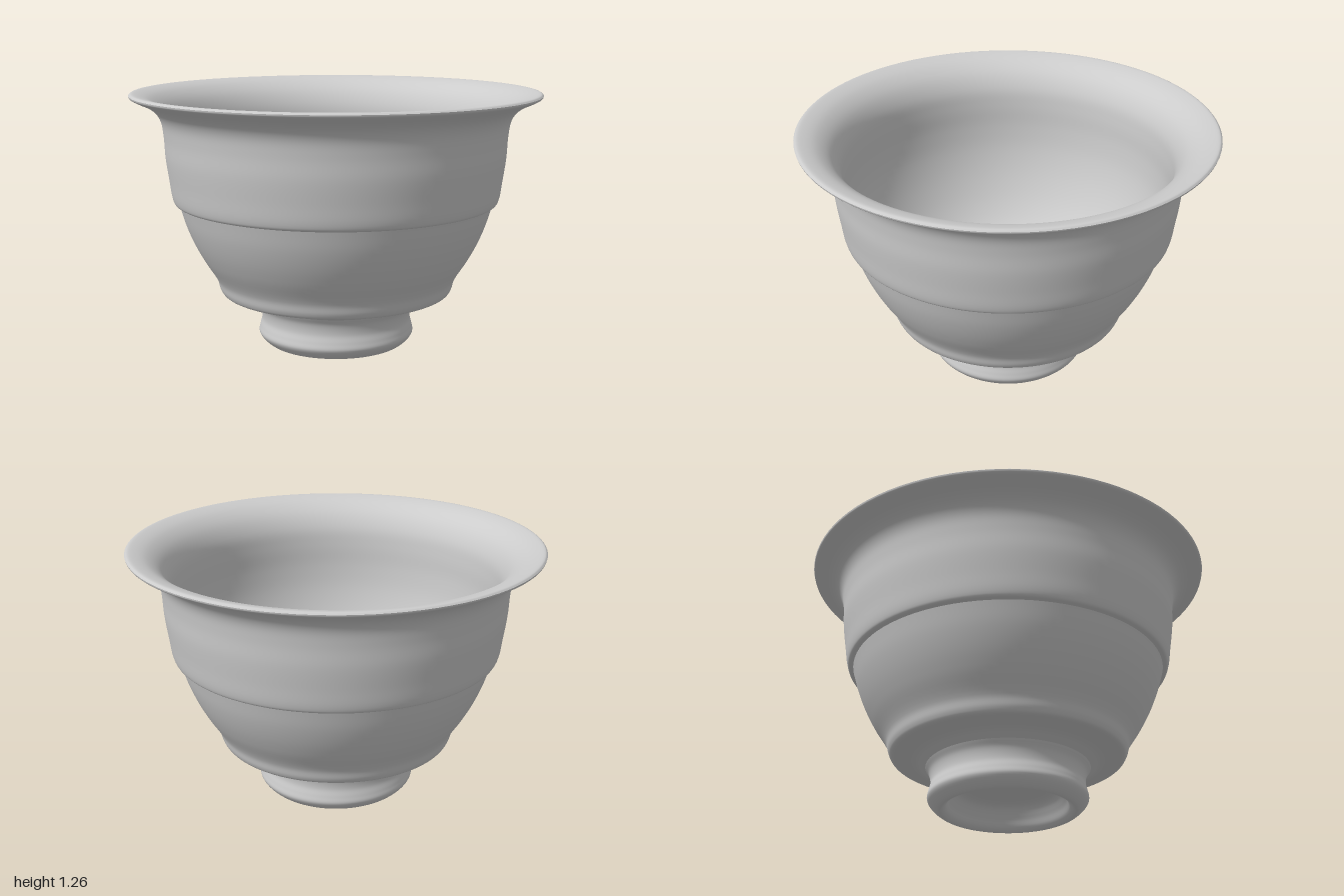
import * as THREE from 'three';

const material = new THREE.MeshStandardMaterial({ color: 0xcccccc, roughness: 0.6 });

// Revolves a smooth curve through [radius, height] points
function turned(name, points, samples) {
  const curve = new THREE.CatmullRomCurve3(
    points.map(([r, y]) => new THREE.Vector3(r, y, 0)), false, 'centripetal');
  const profile = curve.getPoints(samples).map(p => new THREE.Vector2(Math.max(0, p.x), Math.max(0, p.y)));
  const mesh = new THREE.Mesh(new THREE.LatheGeometry(profile, 96), material);
  mesh.name = name;
  return mesh;
}

export function createModel() {
  const bowl = new THREE.Group();
  bowl.name = 'bowl';

  // Hollow foot ring, from the recessed underside to the neck
  bowl.add(turned('foot', [
    [0, 0.13], [0.15, 0.13], [0.235, 0.11], [0.275, 0.06], [0.3, 0.015], [0.325, 0],
    [0.355, 0.015], [0.387, 0.055], [0.382, 0.09], [0.373, 0.13], [0.38, 0.18], [0.4, 0.215],
  ], 60));

  // Lower wall: shoulder above the foot, swelling up to the ridge
  bowl.add(turned('lowerWall', [
    [0.4, 0.215], [0.45, 0.243], [0.52, 0.258], [0.565, 0.268], [0.58, 0.29], [0.595, 0.34],
    [0.66, 0.445], [0.705, 0.53], [0.742, 0.62], [0.772, 0.72],
  ], 48));

  // Upper wall: stepped ridge, then the flare under the lip
  bowl.add(turned('upperWall', [
    [0.772, 0.72], [0.793, 0.728], [0.803, 0.75], [0.817, 0.84], [0.832, 0.95], [0.838, 1.05],
    [0.85, 1.125], [0.875, 1.17], [0.92, 1.205], [0.975, 1.23], [0.997, 1.243], [1, 1.252],
  ], 60));

  // Rounded lip and the inside down to the floor
  bowl.add(turned('inside', [
    [1, 1.252], [0.99, 1.26], [0.96, 1.257], [0.9, 1.235], [0.84, 1.185], [0.8, 1.11],
    [0.787, 1.02], [0.782, 0.9], [0.765, 0.77], [0.72, 0.62], [0.65, 0.48], [0.57, 0.385],
    [0.45, 0.32], [0.25, 0.285], [0, 0.275],
  ], 72));

  return bowl;
}
